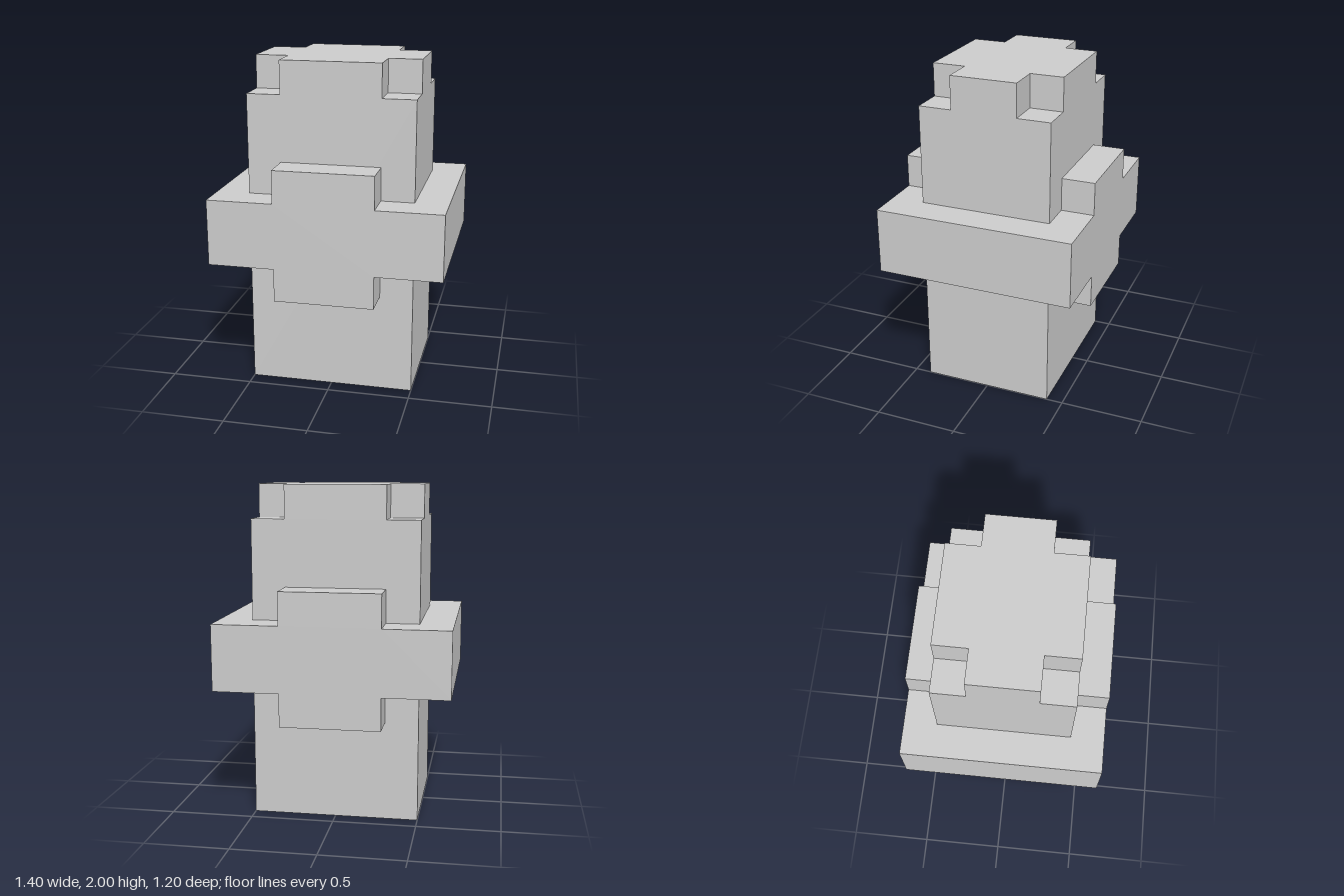
import * as THREE from 'three';

const material = new THREE.MeshStandardMaterial({ color: 0xcccccc, flatShading: true });

// Plus-shaped slab: half extents w, h with corners cut back to a, b; extruded along +z
function crossGeometry(w, h, a, b, depth) {
  const quarter = [[w, -b], [w, b], [a, b], [a, h], [-a, h], [-a, b]];
  const points = [...quarter, ...quarter.map(([x, y]) => [-x, -y])];
  const shape = new THREE.Shape(points.map(([x, y]) => new THREE.Vector2(x, y)));
  return new THREE.ExtrudeGeometry(shape, { depth, bevelEnabled: false });
}

export function createModel() {
  const group = new THREE.Group();
  const add = (name, geometry, x, y, z) => {
    const mesh = new THREE.Mesh(geometry, material);
    mesh.name = name;
    mesh.position.set(x, y, z);
    group.add(mesh);
    return mesh;
  };

  // Central block
  add('body', new THREE.BoxGeometry(1, 1.8, 0.8), 0, 0.9, 0);

  // Top layer with its four corners notched out
  add('crown', crossGeometry(0.5, 0.4, 0.3, 0.2, 0.2).rotateX(-Math.PI / 2), 0, 1.8, 0);

  // Belt: cross-shaped panels front and back, joined by side rails
  add('frontPanel', crossGeometry(0.7, 0.4, 0.3, 0.2, 0.2), 0, 1, 0.4);
  add('backPanel', crossGeometry(0.7, 0.4, 0.3, 0.2, 0.2), 0, 1, -0.6);
  for (const [name, side] of [['leftRail', 1], ['rightRail', -1]]) {
    add(name, new THREE.BoxGeometry(0.2, 0.4, 0.8), side * 0.6, 1, 0);
  }

  return group;
}
